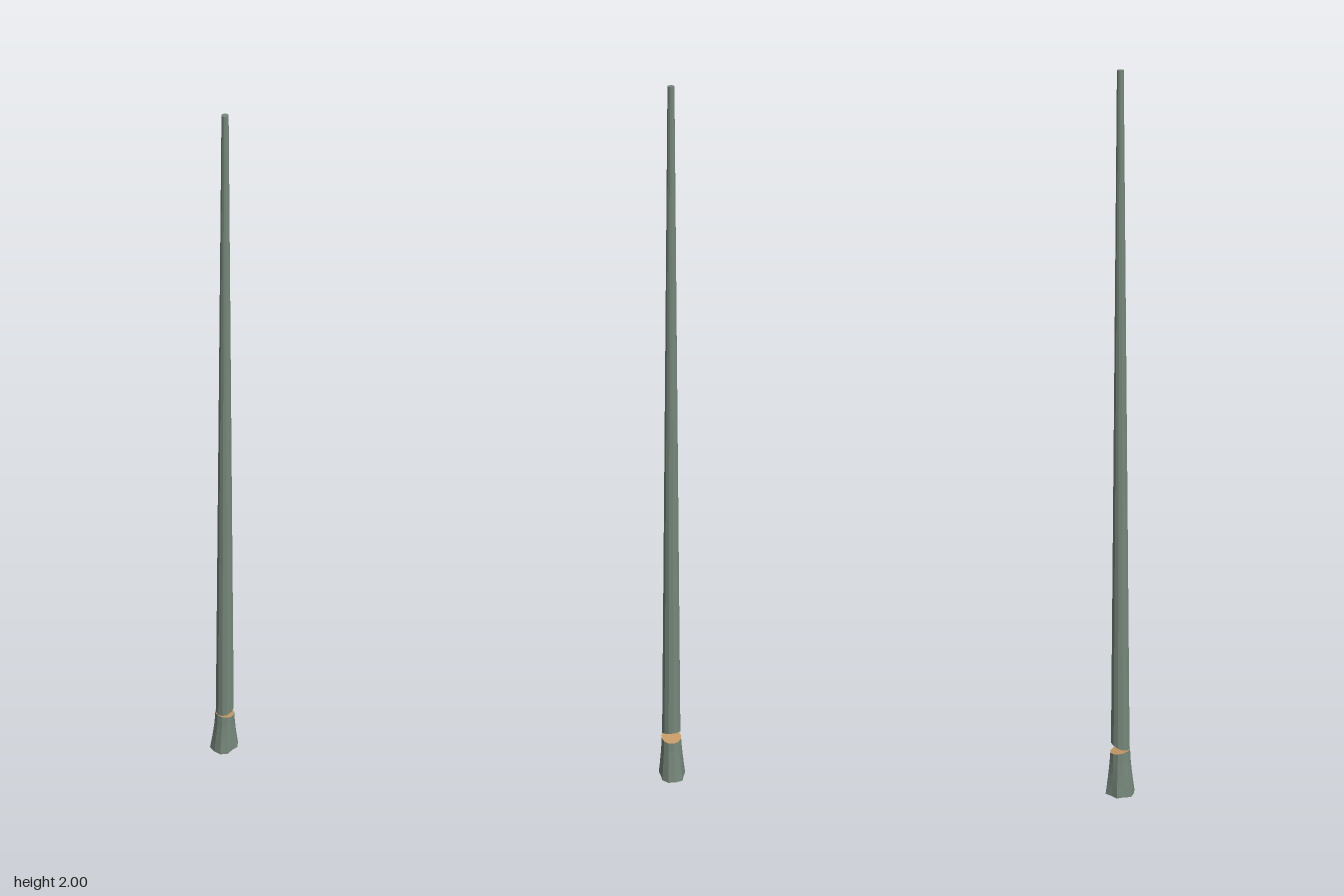
import * as THREE from 'three';

const SIDES = 12;
const CENTRE_Z = 0.003;

const bark = new THREE.MeshStandardMaterial({ name: 'bark', color: 0x76877a, flatShading: true });
const cutWood = new THREE.MeshStandardMaterial({ name: 'cutWood', color: 0xc79a66, flatShading: true });

// Moves every vertex of a geometry by a rule
function reshape(geometry, rule) {
  const pos = geometry.attributes.position;
  const v = new THREE.Vector3();
  for (let i = 0; i < pos.count; i++) {
    rule(v.fromBufferAttribute(pos, i));
    pos.setXYZ(i, v.x, v.y, v.z);
  }
  geometry.computeVertexNormals();
  return geometry;
}

// Tall tapering trunk whose sawn underside slopes up towards +x
function makeTrunk() {
  const bottom = 0.149, height = 2 - bottom;
  const geometry = new THREE.CylinderGeometry(0.0085, 0.0265, height, SIDES, 3);
  geometry.translate(0, bottom + height / 2, CENTRE_Z);
  reshape(geometry, (v) => {
    if (v.y < bottom + 0.001) v.y += v.x * 0.4;
  });
  const trunk = new THREE.Mesh(geometry, [bark, bark, cutWood]);
  trunk.name = 'trunk';
  return trunk;
}

// Flared stump: root radii run from the front (+z) round to the back (-z)
function makeStump() {
  const rootRadii = [0.033, 0.04, 0.042, 0.04, 0.042, 0.033, 0.038];
  const top = 0.132, topRadius = 0.028;
  const geometry = new THREE.CylinderGeometry(1, 1, 1, SIDES, 4);
  geometry.translate(0, 0.5, 0);
  reshape(geometry, (v) => {
    const r = Math.hypot(v.x, v.z);
    const angle = Math.atan2(v.x, v.z);
    const root = rootRadii[Math.round(Math.abs(angle) / (Math.PI / 6))];
    const flare = Math.pow(1 - v.y, 1.4);
    const radius = r * (topRadius + (root - topRadius) * flare);
    const t = v.y;
    v.x = Math.sin(angle) * radius;
    v.z = Math.cos(angle) * radius + CENTRE_Z * t;
    v.y = t * top - (t > 0.99 ? v.x * 0.2 : 0);
  });
  const stump = new THREE.Mesh(geometry, [bark, cutWood, bark]);
  stump.name = 'stump';
  return stump;
}

export function createModel() {
  const model = new THREE.Group();
  model.name = 'felledTree';
  model.add(makeTrunk(), makeStump());
  return model;
}
